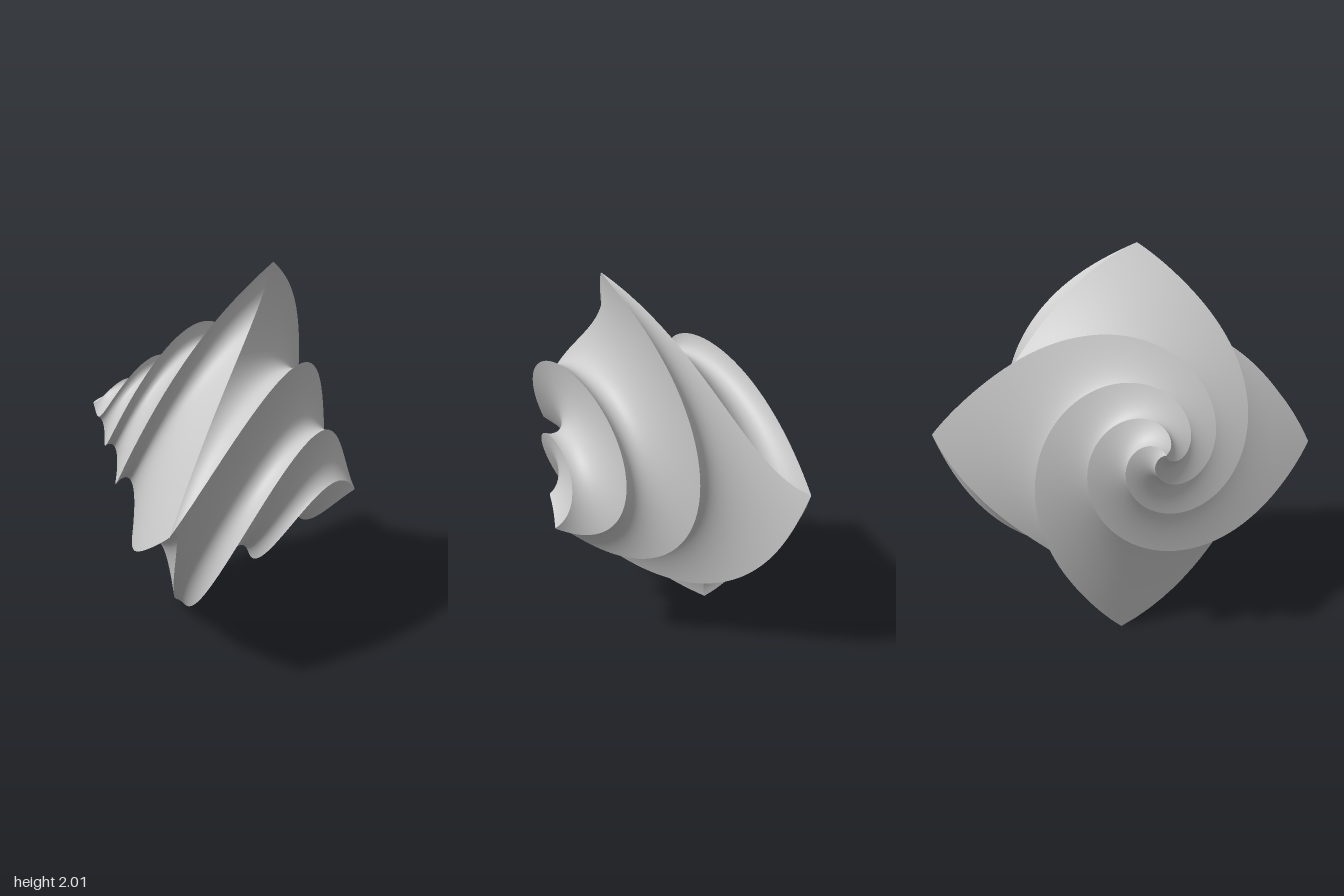
import * as THREE from 'three';
import { ParametricGeometry } from 'three/addons/geometries/ParametricGeometry.js';

const RADIUS = 1.05; // centre line to the four outer corners
const HALF_LENGTH = 0.755; // centre to each tip
const SWIRL = 0.45; // extra turning of the side middles against the ridges
const SPIN_AXIS = new THREE.Vector3(0, 0, 1);

// One side of a square pyramid, turned by twist(t) towards its tip
function twistedSide(twist, swirl) {
  const side = (u, v, target) => {
    const t = v * 0.995;
    const taper = 1 - t;
    const bend = swirl * taper * taper * 2 * u * (1 - u);
    target.set(RADIUS * taper * (1 - u), RADIUS * taper * u, HALF_LENGTH * t);
    target.applyAxisAngle(SPIN_AXIS, -twist(t) - bend);
  };
  return new ParametricGeometry(side, 24, 120);
}

export function createModel() {
  const material = new THREE.MeshStandardMaterial({ color: 0xcccccc, side: THREE.DoubleSide });

  // Two halves, the back one turned over about a corner axis and wound tighter at its tip
  const halves = [
    { name: 'frontHalf', turn: 0, swirl: SWIRL, twist: (t) => 2 * t + 5.4 * t ** 2 - 3.2 * t ** 3 },
    { name: 'backHalf', turn: Math.PI, swirl: -SWIRL, twist: (t) => 1.5 * t + 7 * t ** 3 - 2.6 * t ** 5 },
  ];
  const body = new THREE.Group();
  body.name = 'twistedDoublePyramid';
  for (const { name, turn, swirl, twist } of halves) {
    const half = new THREE.Group();
    half.name = name;
    half.rotation.x = turn;
    const geometry = twistedSide(twist, swirl);
    for (let i = 0; i < 4; i++) {
      const side = new THREE.Mesh(geometry, material);
      side.name = 'spiralSide';
      side.rotation.z = (i * Math.PI) / 2;
      half.add(side);
    }
    body.add(half);
  }

  // Tilt the spiral axis; local x points at the topmost corner
  const axis = new THREE.Vector3(0.73, -0.27, 0.63).normalize();
  const top = new THREE.Vector3(0.135, 0.955, 0.257);
  top.addScaledVector(axis, -top.dot(axis)).normalize();
  const across = new THREE.Vector3().crossVectors(axis, top);
  body.quaternion.setFromRotationMatrix(new THREE.Matrix4().makeBasis(top, across, axis));
  body.position.y = 1;

  const model = new THREE.Group();
  model.name = 'spiralSculpture';
  model.add(body);
  return model;
}
